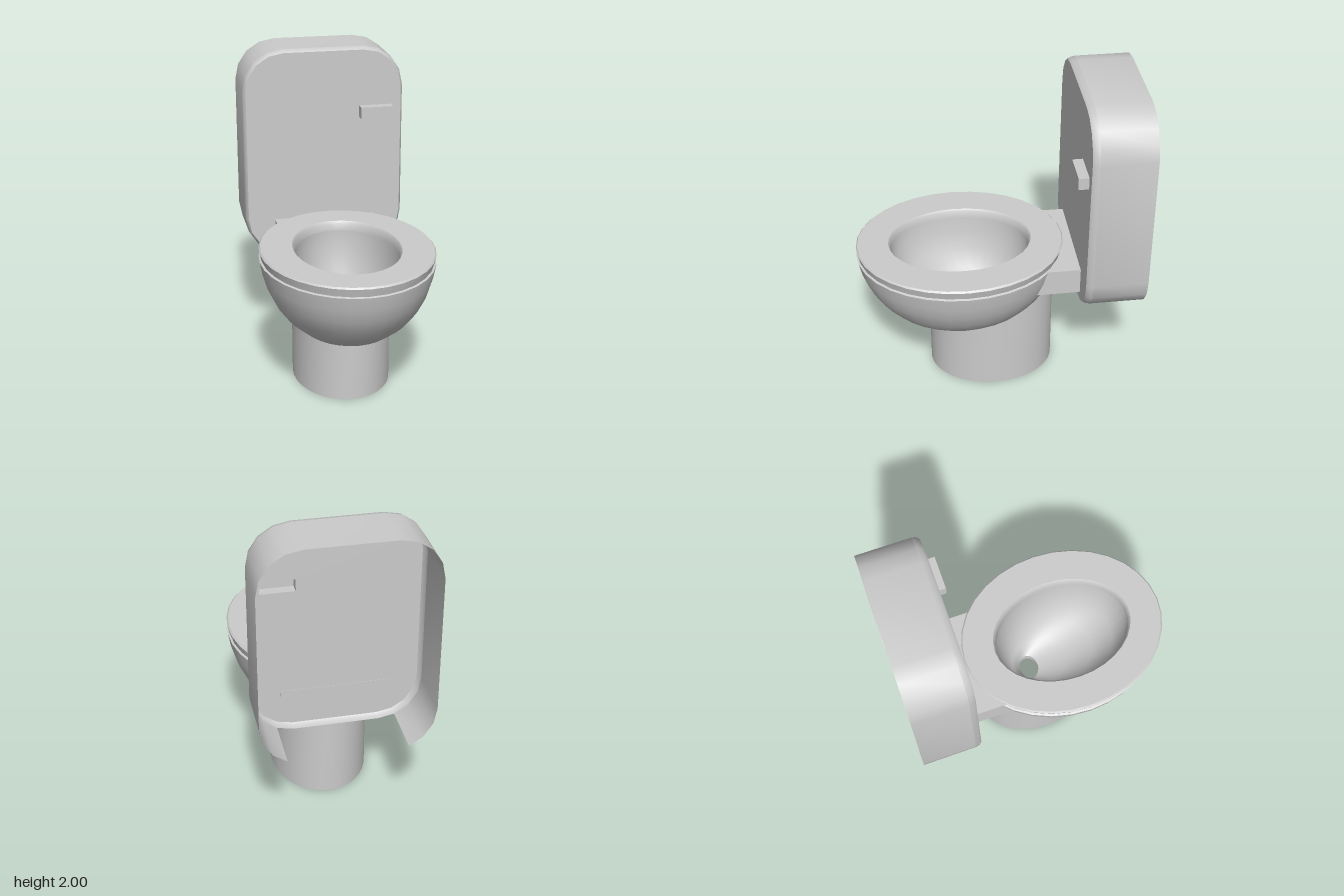
import * as THREE from 'three';
import { toCreasedNormals } from 'three/addons/utils/BufferGeometryUtils.js';

const SEGMENTS = 32;
const material = new THREE.MeshStandardMaterial({ color: 0xcccccc, side: THREE.DoubleSide });

// Skin between successive rows of [x, y, z] points
function skin(rows, closed, crease = 0.6) {
  const n = rows[0].length;
  const index = [];
  for (let i = 0; i < rows.length - 1; i++) {
    for (let j = 0; j < (closed ? n : n - 1); j++) {
      const k = (j + 1) % n;
      const a = i * n + j, b = i * n + k, c = a + n, d = b + n;
      index.push(a, c, b, b, c, d);
    }
  }
  const geometry = new THREE.BufferGeometry();
  geometry.setAttribute('position', new THREE.Float32BufferAttribute(rows.flat(2), 3));
  geometry.setIndex(index);
  return toCreasedNormals(geometry, crease);
}

// Horizontal ellipse; y may be a number or a function of x and z
function ellipse(rx, rz, cz, y) {
  return Array.from({ length: SEGMENTS }, (_, i) => {
    const a = (i / SEGMENTS) * Math.PI * 2;
    const x = rx * Math.cos(a), z = cz + rz * Math.sin(a);
    return [x, typeof y === 'function' ? y(x, z) : y, z];
  });
}

// Rounded tank outline, clockwise from the bottom left corner
function tankOutline(inset, z) {
  const r = 0.26, steps = 4, points = [];
  [[-1, 0.89, 270], [-1, 1.74, 180], [1, 1.74, 90], [1, 0.89, 0]].forEach(([side, cy, start]) => {
    for (let i = 0; i <= steps; i++) {
      const a = THREE.MathUtils.degToRad(start - (90 * i) / steps);
      points.push([side * 0.26 + (r - inset) * Math.cos(a), cy + (r - inset) * Math.sin(a), z]);
    }
  });
  return points;
}

// Outer bowl profile: fraction of the rim radius, height
const RIM = { rx: 0.535, rz: 0.645, cz: 0.22 };
const PROFILE = [[0.31, 0.38], [0.55, 0.44], [0.72, 0.52], [0.83, 0.6], [0.92, 0.7], [0.97, 0.79], [1, 0.875]];

function bowlHeight(x, z) {
  const r = Math.hypot(x / RIM.rx, (z - RIM.cz) / RIM.rz);
  for (let i = 1; i < PROFILE.length; i++) {
    const [r0, y0] = PROFILE[i - 1], [r1, y1] = PROFILE[i];
    if (r <= r1) return y0 + (y1 - y0) * Math.max(0, (r - r0) / (r1 - r0));
  }
  return PROFILE[PROFILE.length - 1][1];
}

export function createModel() {
  const model = new THREE.Group();
  const add = (name, geometry, parent = model) => {
    const mesh = new THREE.Mesh(geometry, material);
    mesh.name = name;
    parent.add(mesh);
    return mesh;
  };

  // Open pedestal, its top edge following the underside of the bowl
  add('pedestal', skin([
    ellipse(0.305, 0.395, 0.025, 0),
    ellipse(0.305, 0.395, 0.025, (x, z) => bowlHeight(x, z) + 0.012),
  ], true));

  // Outer bowl, from the drain up to the rim
  add('bowl', skin([
    ellipse(0.08, 0.06, 0, 0.37),
    ellipse(0.17, 0.24, 0.18, 0.38),
    ...PROFILE.slice(1).map(([s, y]) => ellipse(RIM.rx * s, RIM.rz * s, RIM.cz, y)),
    ellipse(0.522, 0.632, 0.22, 0.88),
  ], true));

  // Inner basin sloping back to the drain hole
  add('basin', skin([
    [0.315, 0.43, 0.22, 0.88], [0.305, 0.42, 0.21, 0.78], [0.275, 0.37, 0.19, 0.66],
    [0.22, 0.29, 0.14, 0.55], [0.15, 0.18, 0.07, 0.47], [0.08, 0.06, 0, 0.42], [0.08, 0.06, 0, 0.37],
  ].map((row) => ellipse(...row)), true, 0.9));

  // Seat ring
  add('seat', skin([
    [0.522, 0.632, 0.88], [0.535, 0.645, 0.93], [0.525, 0.637, 0.94],
    [0.33, 0.445, 0.94], [0.32, 0.435, 0.927], [0.315, 0.43, 0.88],
  ].map(([rx, rz, y]) => ellipse(rx, rz, 0.22, y)), true));

  // Block joining bowl and tank
  add('connector', new THREE.BoxGeometry(0.66, 0.17, 0.27).translate(0, 0.795, -0.355));

  // Tank shell: open at the back and along the bottom
  const tank = new THREE.Group();
  tank.name = 'tank';
  model.add(tank);
  const wall = (z) => tankOutline(0, z).slice(1, -1);
  add('tankWall', skin([wall(-0.865), wall(-0.53)], false), tank);
  add('tankFrontEdge', skin([
    tankOutline(0, -0.53), tankOutline(0.005, -0.503), tankOutline(0.017, -0.488),
  ], true, 0.9), tank);

  // Front panel with the opening behind the flush handle
  const panel = new THREE.Shape(tankOutline(0.017, 0).map(([x, y]) => new THREE.Vector2(x, y)));
  panel.holes.push(new THREE.Path([[0.23, 1.545], [0.44, 1.545], [0.44, 1.62], [0.23, 1.62]]
    .map(([x, y]) => new THREE.Vector2(x, y))));
  add('tankFront', new THREE.ShapeGeometry(panel).translate(0, 0, -0.488), tank);

  // Hollow flush handle, without its back face
  const handle = new THREE.BoxGeometry(0.21, 0.075, 0.063).translate(0.335, 1.5825, -0.4565);
  handle.setIndex(Array.from(handle.index.array).slice(0, 30));
  handle.clearGroups();
  add('flushHandle', handle, tank);

  return model;
}
